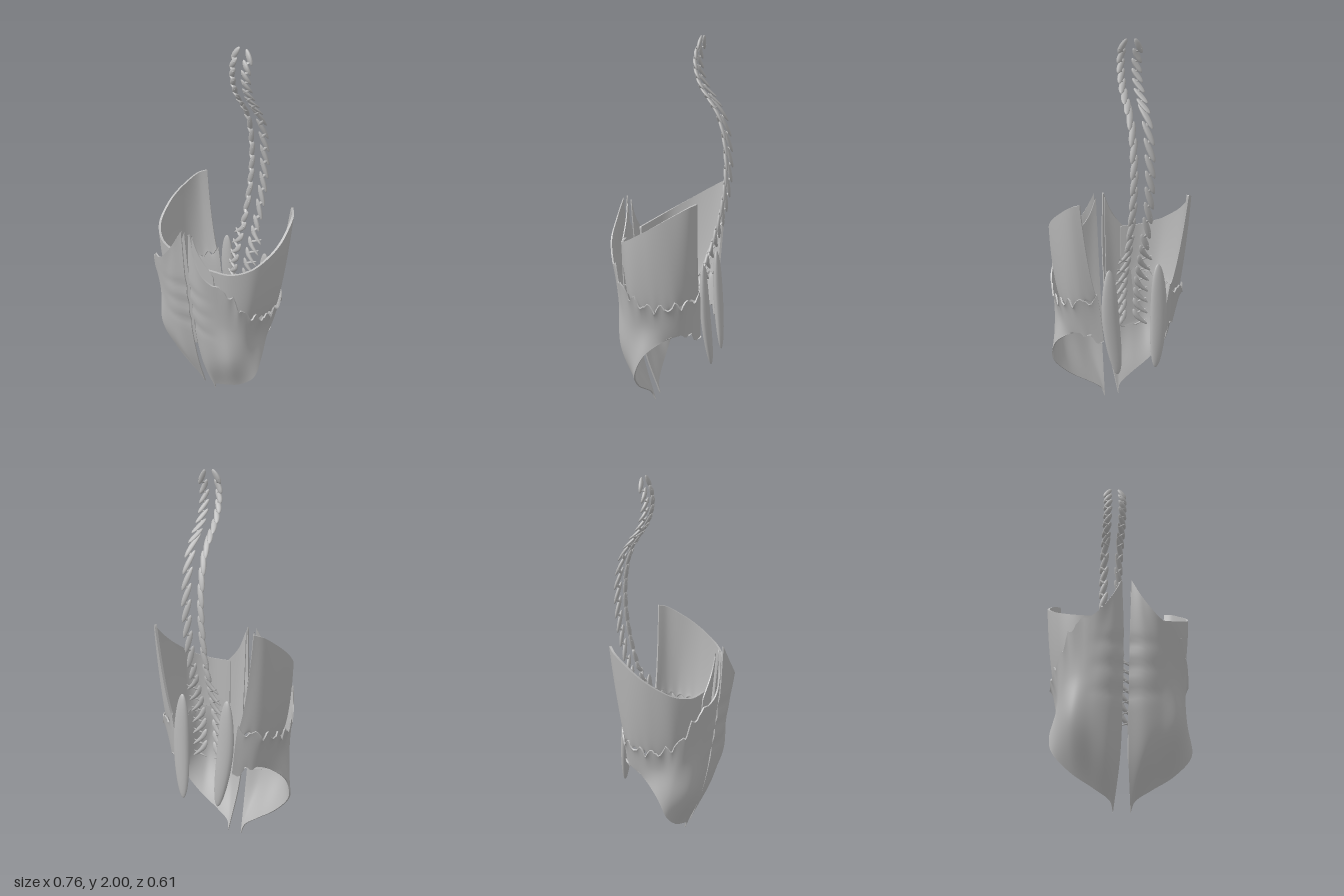
import * as THREE from 'three';
import { mergeVertices } from 'three/addons/utils/BufferGeometryUtils.js';

const muscle = new THREE.MeshStandardMaterial({ color: 0xb6b6b6, side: THREE.DoubleSide });
muscle.name = 'muscle grey';

const curve = (pts) => new THREE.CatmullRomCurve3(pts.map((p) => (p.isVector3 ? p : new THREE.Vector3(...p))));

// Grid index; flip reverses the facing
function gridIndex(nu, nv, base, flip, out) {
  const id = (i, j) => base + i * (nv + 1) + j;
  for (let i = 0; i < nu; i++) for (let j = 0; j < nv; j++) {
    const a = id(i, j), b = id(i + 1, j), c = id(i + 1, j + 1), d = id(i, j + 1);
    if (flip) out.push(a, c, b, a, d, c);
    else out.push(a, b, c, a, c, d);
  }
}

// Muscle sheet lofted through columns (each bottom to top), thickened inward
function sheet(columns, thick, nu, nv, shape) {
  const cols = columns.map(curve);
  const pos = [], index = [], rows = [], n = (nu + 1) * (nv + 1);
  for (let j = 0; j <= nv; j++) rows.push(curve(cols.map((c) => c.getPoint(j / nv))));
  for (let i = 0; i <= nu; i++) for (let j = 0; j <= nv; j++) {
    const p = rows[j].getPoint(i / nu);
    shape(p, i / nu, j / nv);
    pos.push(p.x, p.y, p.z);
  }
  const face = new THREE.BufferGeometry();
  gridIndex(nu, nv, 0, false, index);
  face.setAttribute('position', new THREE.Float32BufferAttribute(pos, 3));
  face.setIndex(index);
  face.computeVertexNormals();
  const nor = face.attributes.normal.array;
  for (let k = 0; k < n * 3; k++) pos.push(pos[k] - nor[k] * thick);
  gridIndex(nu, nv, n, true, index);
  // Rim walls use their own vertices so that edges stay crisp
  const id = (i, j) => i * (nv + 1) + j, loop = [];
  for (let i = 0; i < nu; i++) loop.push(id(i, 0));
  for (let j = 0; j < nv; j++) loop.push(id(nu, j));
  for (let i = nu; i > 0; i--) loop.push(id(i, nv));
  for (let j = nv; j > 0; j--) loop.push(id(0, j));
  const base = pos.length / 3, m = loop.length;
  for (const k of loop) for (const q of [k, k + n]) pos.push(pos[q * 3], pos[q * 3 + 1], pos[q * 3 + 2]);
  for (let k = 0; k < m; k++) {
    const a = base + 2 * k, b = base + 2 * ((k + 1) % m);
    index.push(a, a + 1, b + 1, a, b + 1, b);
  }
  const g = new THREE.BufferGeometry();
  g.setAttribute('position', new THREE.Float32BufferAttribute(pos, 3));
  g.setIndex(index);
  g.computeVertexNormals();
  return g;
}

// Tapered belly along a path running bottom to top; w and t are half sizes in x and z
function spindle(points, w, t, seg = 8, rings = 8) {
  const path = curve(points);
  let g = new THREE.SphereGeometry(1, seg, rings);
  const p = g.attributes.position;
  for (let i = 0; i < p.count; i++) {
    const c = path.getPoint(THREE.MathUtils.clamp((p.getY(i) + 1) / 2, 0, 1));
    p.setXYZ(i, c.x + p.getX(i) * w, c.y, c.z + p.getZ(i) * t);
  }
  g.deleteAttribute('uv');
  g.deleteAttribute('normal');
  g = mergeVertices(g);
  g.computeVertexNormals();
  return g;
}

function mirrored(g) {
  const m = g.clone().scale(-1, 1, 1), ix = m.index.array;
  for (let i = 0; i < ix.length; i += 3) [ix[i], ix[i + 1]] = [ix[i + 1], ix[i]];
  m.computeVertexNormals();
  return m;
}

const saw = (x) => Math.abs((x % 1) - 0.5) * 2 - 0.5;
const { smoothstep } = THREE.MathUtils;

export function createModel() {
  const model = new THREE.Group();
  model.name = 'trunkMuscles';
  const addPair = (name, g) => {
    for (const [side, geo] of [['left', g], ['right', mirrored(g)]]) {
      const mesh = new THREE.Mesh(geo, muscle);
      mesh.name = side + name;
      model.add(mesh);
    }
  };

  // Abdominal wall from the midline round to the back
  const wallFront = [
    [[0.042, 0.0, 0.1], [0.02, 0.25, 0.18], [0.015, 0.55, 0.235], [0.015, 0.85, 0.268], [0.025, 1.15, 0.278]],
    [[0.06, 0.05, 0.115], [0.09, 0.28, 0.207], [0.09, 0.55, 0.255], [0.09, 0.82, 0.288], [0.075, 1.05, 0.298]],
    [[0.14, 0.105, 0.125], [0.17, 0.36, 0.22], [0.17, 0.65, 0.257], [0.15, 0.95, 0.303]],
    [[0.25, 0.175, 0.125], [0.265, 0.4, 0.212], [0.245, 0.64, 0.225], [0.255, 0.88, 0.252]],
  ];
  const wallSide = [
    [[0.345, 0.28, 0.11], [0.315, 0.52, 0.15], [0.315, 0.74, 0.175]],
    [[0.35, 0.39, 0.06], [0.32, 0.53, 0.07], [0.342, 0.67, 0.07]],
    [[0.305, 0.47, -0.04], [0.34, 0.66, -0.04]],
    [[0.27, 0.5, -0.13], [0.31, 0.68, -0.14]],
    [[0.17, 0.45, -0.2], [0.2, 0.7, -0.205]],
  ];
  addPair('AbdominalWall', sheet([...wallFront, ...wallSide], 0.008, 72, 40, (p, u, v) => {
    // Segment bellies in front, notched edges at the sides and back
    const front = Math.max(0, 1 - u / 0.3);
    for (const y of [0.55, 0.68, 0.8]) p.z -= 0.008 * front * Math.exp(-(((p.y - y) / 0.03) ** 2));
    const notch = smoothstep(u, 0.28, 0.36) * v ** 6;
    p.x += 0.01 * notch;
    p.y += (0.045 * saw(u * 12) + 0.02 * saw(u * 19)) * notch;
    p.y += 0.04 * saw(u * 14) * smoothstep(u, 0.84, 0.92) * (1 - v) ** 3;
  }));

  // Deep band behind the front wall, with a slight forward belly
  addPair('DeepFrontBand', sheet([
    [[0.015, 0.36, 0.182], [0.025, 1.13, 0.255]],
    [[0.09, 0.36, 0.2], [0.07, 1.03, 0.25]],
    [[0.2, 0.38, 0.195], [0.16, 0.93, 0.24]],
  ], 0.006, 12, 16, (p, u, v) => {
    p.z += 0.006 * Math.sin(Math.PI * v);
  }));

  // Rib cage sheet, rising towards the back
  addPair('RibSheet', sheet([
    [[0.11, 0.7, 0.22], [0.12, 0.955, 0.238]],
    [[0.22, 0.7, 0.19], [0.25, 0.968, 0.207]],
    [[0.29, 0.66, 0.13], [0.335, 1.005, 0.14]],
    [[0.315, 0.64, 0.04], [0.374, 1.063, 0.04]],
    [[0.32, 0.64, -0.03], [0.38, 1.105, -0.03]],
    [[0.31, 0.65, -0.1], [0.368, 1.147, -0.1]],
    [[0.27, 0.68, -0.16], [0.342, 1.19, -0.175]],
    [[0.21, 0.71, -0.2], [0.305, 1.207, -0.215]],
  ], 0.012, 56, 24, (p, u, v) => {
    p.x += 0.013 * Math.sin(Math.PI * v) * smoothstep(u, 0, 0.3);
    p.y += 0.03 * saw(u * 9) * (1 - v) ** 5;
  }));

  // Long blades beside the lower spine, leaning inward as they descend
  addPair('LoinBlade', spindle(
    [[0.11, 0.29, -0.243], [0.138, 0.58, -0.215], [0.14, 0.85, -0.2]], 0.048, 0.024, 16, 20));

  // Chains of short slips following the spine; pairs are height and depth
  const spine = [[0.5, -0.15], [0.75, -0.165], [1.0, -0.24], [1.2, -0.28], [1.4, -0.288], [1.6, -0.25],
    [1.78, -0.142], [1.9, -0.125], [2.0, -0.16]];
  const samples = curve(spine.map(([y, z]) => [0, y, z])).getPoints(300);
  const zAt = (y) => samples.reduce((a, b) => (Math.abs(b.y - y) < Math.abs(a.y - y) ? b : a)).z;
  for (let y = 1.965, k = 1; y > 0.52; k++) {
    const step = y > 1.65 ? 0.048 : y > 1.0 ? 0.08 : 0.062;
    const h = step * 0.75, outer = y < 0.95 ? 0.095 : 0.062;
    addPair('SpineSlip' + k, spindle(
      [[outer, y - h, zAt(y - h) - 0.012], [0.044, y, zAt(y)], [0.024, y + h, zAt(y + h) + 0.008]], 0.018, 0.01));
    addPair('SpineKnob' + k, spindle(
      [[0.03, y - h, zAt(y - h) + 0.008], [outer, y - h * 0.35, zAt(y) - 0.006]], 0.012, 0.008, 6, 6));
    y -= step;
  }
  return model;
}
